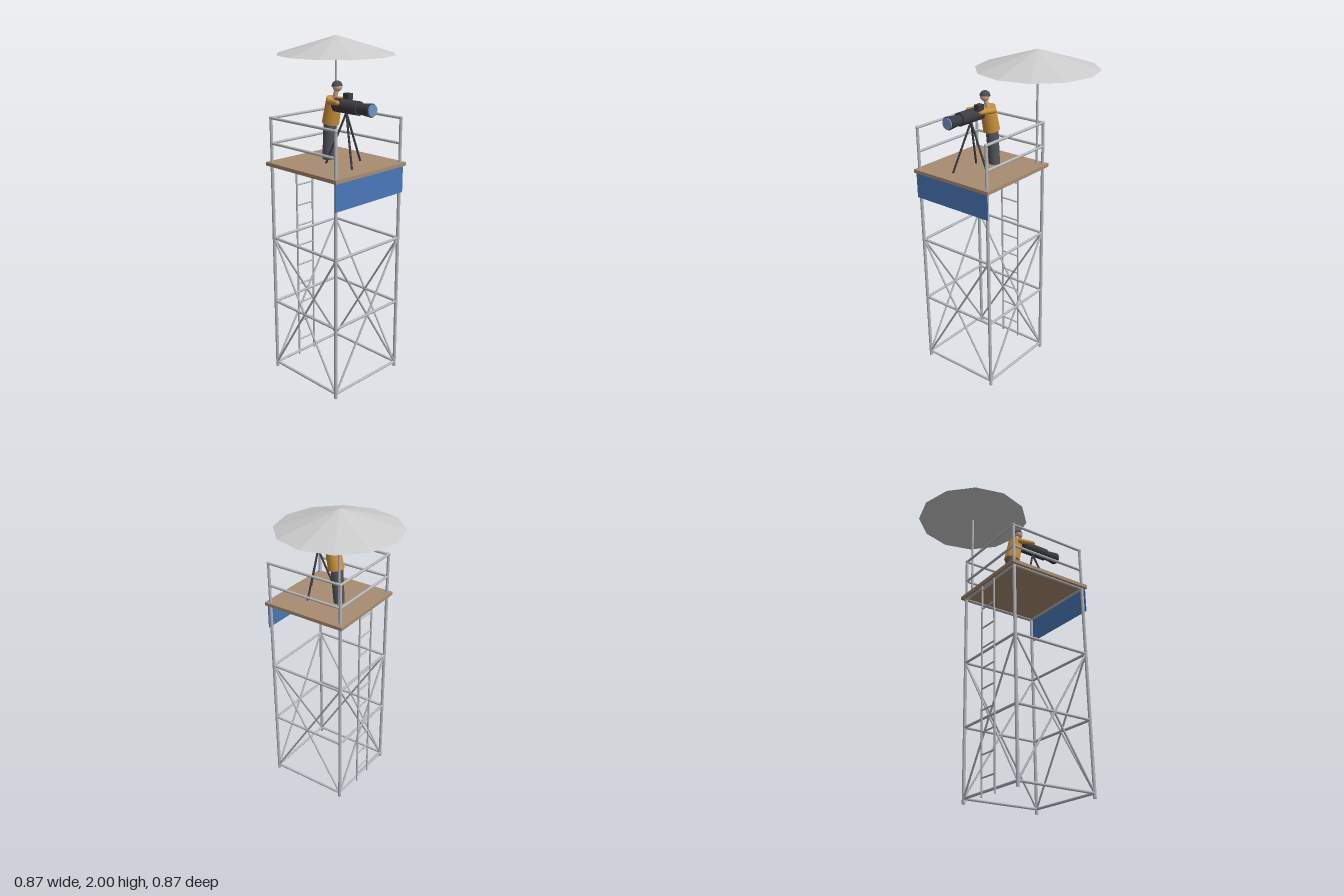
import * as THREE from 'three';

const mat = (color, extra = {}) => new THREE.MeshStandardMaterial({ color, ...extra });
const V = (x, y, z) => new THREE.Vector3(x, y, z);

export function createModel() {
  const model = new THREE.Group();
  const steel = mat(0xb4b8bc);
  const wood = mat(0xa88c70);
  const blue = mat(0x4a78b8);
  const dark = mat(0x3c3c42);
  const orange = mat(0xcc923c);
  const trousers = mat(0x55555f);

  function add(name, geometry, material, position, parent = model) {
    const mesh = new THREE.Mesh(geometry, material);
    mesh.name = name;
    mesh.position.copy(position);
    parent.add(mesh);
    return mesh;
  }

  // Round bar from a to b, optionally tapered
  function bar(name, a, b, ra, material = steel, rb = ra, parent = model, sides = 12) {
    const dir = b.clone().sub(a);
    const geometry = new THREE.CylinderGeometry(rb, ra, dir.length(), sides);
    const mesh = add(name, geometry, material, a.clone().add(b).multiplyScalar(0.5), parent);
    mesh.quaternion.setFromUnitVectors(V(0, 1, 0), dir.normalize());
    return mesh;
  }

  function group(name) {
    const g = new THREE.Group();
    g.name = name;
    model.add(g);
    return g;
  }

  // Corner posts, in order: front right, front left, back left, back right
  const x0 = -0.413, x1 = 0.102, z0 = -0.105, z1 = 0.41;
  const corners = [[x0, z1], [x1, z1], [x1, z0], [x0, z0]];
  const at = (i, y) => V(corners[i % 4][0], y, corners[i % 4][1]);
  const tower = group('tower');
  const railing = group('railing');
  for (let i = 0; i < 4; i++) {
    bar('post', at(i, 0), at(i, 1.3), 0.01, steel, 0.01, tower);
    for (const y of [0.03, 0.445, 0.855, 1.293])
      bar('crossbar', at(i, y), at(i + 1, y), 0.008, steel, 0.008, tower);
    bar('brace', at(i, 0.03), at(i + 1, 0.855), 0.006, steel, 0.006, tower);
    bar('brace', at(i, 0.855), at(i + 1, 0.03), 0.006, steel, 0.006, tower);

    // Guard rail, open at the front
    bar('railPost', at(i, 1.31), at(i, 1.57), 0.009, steel, 0.009, railing);
    add('postCap', new THREE.SphereGeometry(0.011, 12, 8), steel, at(i, 1.57), railing);
    if (i > 0)
      for (const y of [1.425, 1.57])
        bar('rail', at(i, y), at(i + 1, y), 0.008, steel, 0.008, railing);
  }

  // Platform and front banner
  add('deck', new THREE.BoxGeometry(0.564, 0.021, 0.565), wood, V(-0.155, 1.305, 0.152));
  add('banner', new THREE.BoxGeometry(0.543, 0.16, 0.004), blue, V(-0.157, 1.217, 0.422));

  // Ladder on the back
  const ladder = group('ladder');
  for (const x of [-0.221, -0.093])
    bar('ladderRail', V(x, 0, -0.114), V(x, 1.3, -0.114), 0.006, steel, 0.006, ladder);
  for (let i = 0; i < 10; i++) {
    const y = 0.105 + i * 0.129;
    bar('rung', V(-0.221, y, -0.114), V(-0.093, y, -0.114), 0.005, steel, 0.005, ladder);
  }

  // Parasol
  bar('parasolPole', V(0.077, 1.31, -0.08), V(0.077, 1.9, -0.08), 0.007);
  add('parasolCanopy', new THREE.ConeGeometry(0.36, 0.11, 12),
    mat(0xcccccc, { flatShading: true }), V(0.077, 1.945, -0.08));

  // Camera on a tripod
  const camera = group('filmCamera');
  const cx = -0.157, cy = 1.645;
  const apex = V(cx, 1.61, 0.235);
  for (const [x, z] of [[-0.216, 0.133], [-0.216, 0.337], [-0.04, 0.235]])
    bar('tripodLeg', V(x, 1.315, z), apex, 0.006, dark, 0.006, camera, 8);
  bar('cameraBody', V(cx, cy, 0.155), V(cx, cy, 0.335), 0.039, dark, 0.039, camera, 24);
  bar('lensHood', V(cx, cy, 0.33), V(cx, cy, 0.425), 0.029, dark, 0.038, camera, 24);
  bar('lensGlass', V(cx, cy, 0.42), V(cx, cy, 0.433), 0.033, mat(0x6f93c4), 0.033, camera, 24);
  add('viewfinder', new THREE.BoxGeometry(0.035, 0.035, 0.045), dark, V(-0.118, 1.693, 0.208), camera);

  // Operator leaning towards the camera
  const operator = group('operator');
  const ox = -0.132;
  bar('legs', V(ox, 1.316, 0.064), V(ox, 1.53, 0.081), 0.034, trousers, 0.038, operator, 20);
  bar('torso', V(ox, 1.53, 0.085), V(ox, 1.676, 0.116), 0.05, orange, 0.045, operator, 20);
  bar('neck', V(ox, 1.66, 0.115), V(ox, 1.73, 0.135), 0.014, mat(0xd8b090), 0.014, operator);
  add('head', new THREE.SphereGeometry(0.028, 20, 14), mat(0xd8b090), V(ox, 1.742, 0.14), operator);
  const cap = add('cap', new THREE.SphereGeometry(0.031, 20, 8, 0, Math.PI * 2, 0, Math.PI / 2),
    mat(0x4a4c58, { side: THREE.DoubleSide }), V(ox, 1.744, 0.138), operator);
  cap.rotation.x = -0.1;
  for (const [sx, hx] of [[-0.085, -0.108], [-0.18, -0.2]]) {
    const shoulder = V(sx, 1.662, 0.12), hand = V(hx, 1.665, 0.205);
    bar('arm', shoulder, hand, 0.017, orange, 0.014, operator);
    add('shoulder', new THREE.SphereGeometry(0.017, 12, 8), orange, shoulder, operator);
    add('hand', new THREE.SphereGeometry(0.014, 12, 8), orange, hand, operator);
  }
  return model;
}
